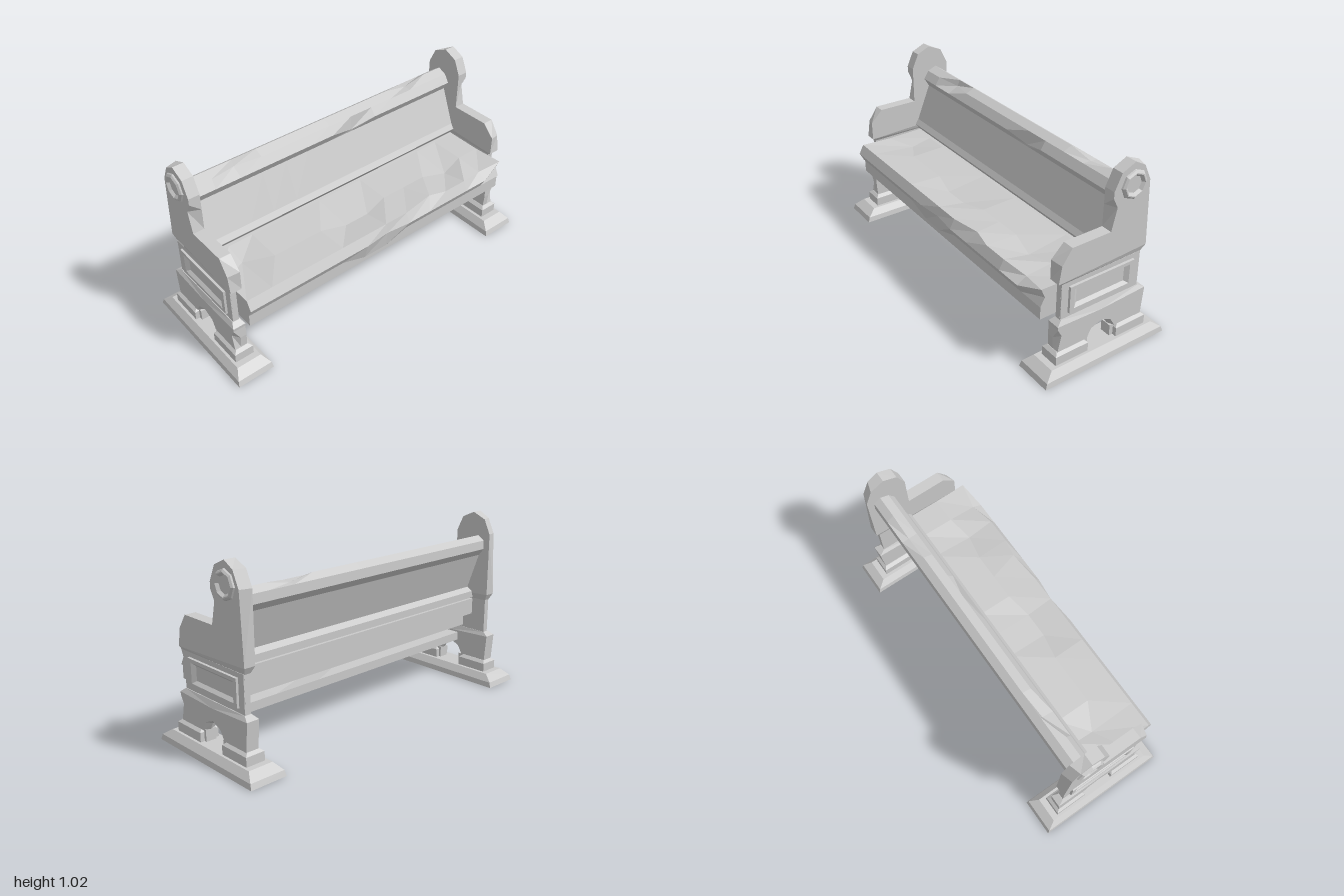
import * as THREE from 'three';

const material = new THREE.MeshStandardMaterial({ color: 0xcccccc, flatShading: true, side: THREE.DoubleSide });

// Moves every vertex by a rule; equal positions always move together.
function deform(geometry, rule) {
  const p = geometry.attributes.position, v = new THREE.Vector3();
  for (let i = 0; i < p.count; i++) {
    v.fromBufferAttribute(p, i);
    rule(v);
    p.setXYZ(i, v.x, v.y, v.z);
  }
  return geometry;
}

// Extrudes a [z, y] outline along x, from x0 to x1.
function profile(points, x0, x1, steps = 1) {
  const shape = new THREE.Shape(points.map(([z, y]) => new THREE.Vector2(-z, y)));
  const g = new THREE.ExtrudeGeometry(shape, { depth: x1 - x0, steps, bevelEnabled: false });
  return g.rotateY(Math.PI / 2).translate(x0, 0, 0);
}

// Block whose top is w1 by d1 and whose bottom is w0 by d0.
function block(x, z, y0, y1, w0, d0, w1 = w0, d1 = d0) {
  const g = new THREE.BoxGeometry(1, y1 - y0, 1).translate(0, (y0 + y1) / 2, 0);
  return deform(g, v => {
    const top = v.y > (y0 + y1) / 2;
    v.x = x + v.x * (top ? w1 : w0);
    v.z = z + v.z * (top ? d1 : d0);
  });
}

// Stepped rectangular rings [x, half depth, half height], closed at the last one.
function panelRings(rings, y) {
  const pos = [];
  const corner = ([x, d, h], k) => [x, y + (k === 1 || k === 2 ? h : -h), k < 2 ? d : -d];
  for (let i = 0; i < rings.length - 1; i++) {
    for (let k = 0; k < 4; k++) {
      const a = corner(rings[i], k), b = corner(rings[i], (k + 3) % 4);
      const c = corner(rings[i + 1], (k + 3) % 4), d = corner(rings[i + 1], k);
      pos.push(...a, ...b, ...c, ...a, ...c, ...d);
    }
  }
  const [a, b, c, d] = [0, 3, 2, 1].map(k => corner(rings[rings.length - 1], k));
  pos.push(...a, ...b, ...c, ...a, ...c, ...d);
  const g = new THREE.BufferGeometry();
  g.setAttribute('position', new THREE.Float32BufferAttribute(pos, 3));
  return g;
}

function add(group, name, geometry, side = 1) {
  const g = geometry.index ? geometry.toNonIndexed() : geometry;
  if (side < 0) {
    // Mirror in x and turn the corner order back.
    const a = g.attributes.position.array;
    for (let i = 0; i < a.length; i += 3) a[i] = -a[i];
    for (let i = 0; i < a.length; i += 9) {
      for (let k = 3; k < 6; k++) [a[i + k], a[i + k + 3]] = [a[i + k + 3], a[i + k]];
    }
  }
  g.computeVertexNormals();
  const mesh = new THREE.Mesh(g, material);
  mesh.name = name;
  group.add(mesh);
}

function makeEnd(side) {
  const end = new THREE.Group();
  end.name = side > 0 ? 'leftEnd' : 'rightEnd';
  const put = (name, g) => add(end, name, g, side);

  // Stepped foot
  put('footPlinth', block(0.895, 0, 0, 0.03, 0.21, 0.76, 0.2, 0.74));
  put('footSlope', block(0.895, 0, 0.03, 0.065, 0.2, 0.74, 0.14, 0.64));
  for (const [z, d] of [[0.186, 0.198], [-0.19, 0.19]]) {
    put('footBlock', block(0.897, z, 0.065, 0.115, 0.108, d));
    put('footBlockChamfer', block(0.897, z, 0.115, 0.13, 0.108, d, 0.07, d - 0.035));
    put('footCore', block(0.897, Math.sign(z) * 0.17, 0.065, 0.128, 0.06, 0.195));
  }

  // Lower panel with a pointed arch that is tightest in the middle of its depth
  const lower = profile([
    [0.265, 0.128], [0.27, 0.2], [0.268, 0.262], [0.27, 0.28], [0, 0.27],
    [-0.28, 0.283], [-0.268, 0.128], [-0.095, 0.128], [-0.065, 0.178], [-0.005, 0.205],
    [0.06, 0.178], [0.085, 0.128]], 0.865, 0.935, 2);
  put('lowerPanel', deform(lower, v => {
    if (Math.abs(v.x - 0.9) < 0.01 && Math.abs(v.z) < 0.1 && v.y < 0.21) {
      v.z *= 0.8;
      if (v.y > 0.15) v.y -= 0.012;
    }
    // chipped front edge
    if (v.x > 0.91 && v.z > 0.26 && Math.abs(v.y - 0.2) < 0.01) { v.z -= 0.025; v.y += 0.02; }
  }));
  const shoulder = profile([[0.27, 0.28], [0.24, 0.302], [-0.245, 0.302], [-0.28, 0.283], [0, 0.27]], 0.865, 0.935);
  put('lowerPanelShoulder', deform(shoulder, v => {
    if (v.y > 0.3) v.x += v.x > 0.9 ? -0.015 : 0.015;
  }));

  // Middle panel: a plain core with a framed recess on the outside
  put('middlePanel', block(0.897, 0, 0.3, 0.505, 0.03, 0.485));
  put('middleFrame', panelRings([
    [0.911, 0.242, 0.102], [0.916, 0.242, 0.102], [0.916, 0.2, 0.076], [0.928, 0.198, 0.074],
    [0.928, 0.172, 0.055], [0.91, 0.146, 0.037]], 0.402));

  // Upper panel: arm rest stepping up to a rounded head
  const upper = profile([
    [0.27, 0.518], [0.27, 0.625], [0.2, 0.695], [-0.028, 0.695], [-0.028, 0.815],
    [-0.028, 0.87], [-0.028, 0.905], [-0.068, 0.99], [-0.145, 1.025], [-0.225, 0.99],
    [-0.265, 0.905], [-0.265, 0.54]], 0.864, 0.926);
  put('upperPanel', deform(upper, v => {
    // chips on the outer edges
    if (v.x > 0.9 && Math.abs(v.y - 0.815) < 0.01) v.z -= 0.028;
    if (v.x > 0.9 && v.z < -0.2 && v.y > 0.9) v.z += 0.018;
    if (v.x > 0.9 && v.z > 0.26 && v.y > 0.6) { v.z -= 0.015; v.y -= 0.01; }
  }));
  const skirt = profile([[0.24, 0.498], [0.27, 0.518], [-0.265, 0.54], [-0.245, 0.503]], 0.864, 0.926);
  put('upperPanelSkirt', deform(skirt, v => {
    if (v.y < 0.51) v.x += v.x > 0.9 ? -0.013 : 0.013;
  }));

  // Eight-sided ring on the head
  const ring = new THREE.LatheGeometry([
    [0.077, 0], [0.074, 0.008], [0.064, 0.016], [0.058, 0.016], [0.045, 0.002], [0, 0.002],
  ].map(([r, h]) => new THREE.Vector2(r, h)), 8);
  put('headRing', ring.rotateZ(-Math.PI / 2).translate(0.926, 0.91, -0.145));
  return end;
}

// Adds worn spots [x, y, z, reach, dx, dy, dz] to a geometry.
const wear = (g, spots) => deform(g, v => {
  const at = v.clone();
  for (const [x, y, z, reach, dx, dy, dz] of spots) {
    const d = Math.hypot((at.x - x) / 2.5, at.y - y, at.z - z);
    if (d < reach) v.add(new THREE.Vector3(dx, dy, dz));
  }
});

export function createModel() {
  const bench = new THREE.Group();
  bench.name = 'bench';
  bench.add(makeEnd(1), makeEnd(-1));

  // Leaning backrest with a heavy top rail and a lip at the bottom
  const back = profile([
    [-0.06, 0.5], [-0.03, 0.54], [-0.05, 0.57], [-0.135, 0.775], [-0.105, 0.825], [-0.135, 0.87],
    [-0.185, 0.892], [-0.225, 0.865], [-0.228, 0.815], [-0.195, 0.775],
    [-0.12, 0.565], [-0.155, 0.545], [-0.155, 0.505], [-0.12, 0.495]], -0.88, 0.88, 12);
  add(bench, 'backrest', wear(back, [
    [-0.6, 0.87, -0.135, 0.04, 0, -0.012, -0.035],
    [0.14, 0.825, -0.105, 0.04, 0, -0.035, -0.025],
    [0.57, 0.892, -0.185, 0.04, 0, -0.025, 0],
  ]));

  // Worn seat with a blunt nose
  const seat = profile([
    [-0.15, 0.4], [0.335, 0.392], [0.36, 0.44], [0.332, 0.492], [0.15, 0.485],
    [-0.05, 0.49], [-0.15, 0.495]], -0.88, 0.88, 12);
  add(bench, 'seat', wear(seat, [
    [0.3, 0.492, 0.332, 0.04, 0.04, 0.012, -0.02],
    [-0.07, 0.392, 0.335, 0.04, 0, -0.045, 0],
    [0, 0.44, 0.36, 0.03, 0, 0, -0.015],
    [-0.1, 0.485, 0.15, 0.05, 0, -0.02, 0.03],
    [0.75, 0.492, 0.332, 0.04, 0, -0.02, -0.025],
    [0.6, 0.485, 0.15, 0.05, 0, -0.025, 0.03],
    [-0.72, 0.485, 0.15, 0.04, 0, -0.02, -0.08],
    [0.88, 0.44, 0.36, 0.03, 0, 0, -0.05],
  ]));

  // Bearer under the seat, and the low stretcher
  add(bench, 'seatBearer', block(0, 0.12, 0.317, 0.4, 1.75, 0.42));
  const stretcher = profile([[-0.06, 0.213], [0.07, 0.213], [0.08, 0.222], [0.08, 0.262],
    [-0.06, 0.262]], -0.88, 0.88, 6);
  add(bench, 'stretcher', wear(stretcher, [[0.3, 0.262, 0.08, 0.04, 0.03, -0.02, -0.01]]));
  return bench;
}
